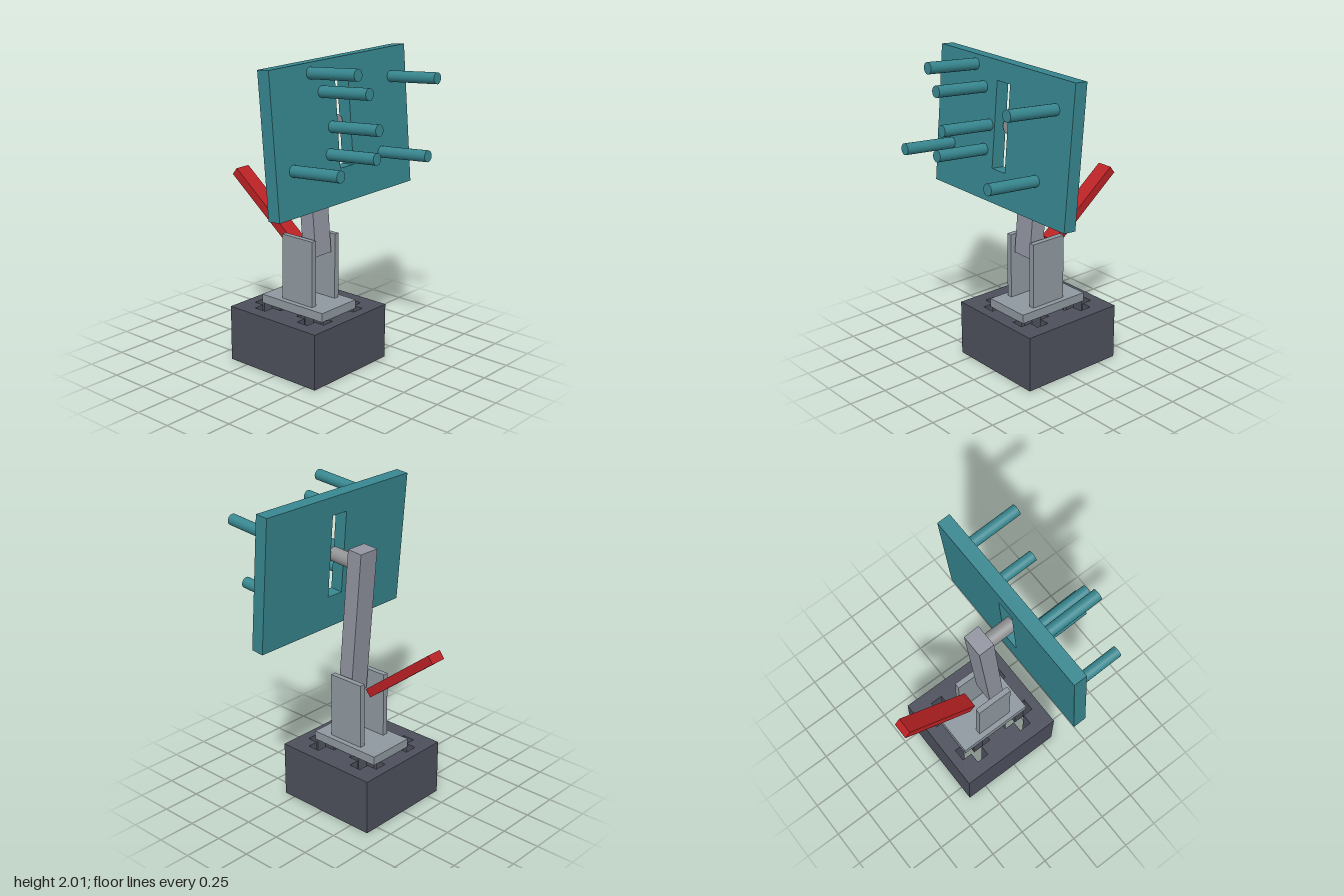
import * as THREE from 'three';

const mat = (name, color) => {
  const m = new THREE.MeshStandardMaterial({ color });
  m.name = name;
  return m;
};

export function createModel() {
  const teal = mat('teal', 0x37868f);
  const charcoal = mat('charcoal', 0x4c4f5b);
  const steel = mat('steel', 0x8f989f);
  const grey = mat('grey', 0x9194a0);
  const knobGrey = mat('knob grey', 0x919294);
  const red = mat('red', 0xba2124);

  const model = new THREE.Group();
  model.name = 'leverStand';

  const add = (parent, name, geometry, material, x, y, z) => {
    const mesh = new THREE.Mesh(geometry, material);
    mesh.name = name;
    mesh.position.set(x, y, z);
    parent.add(mesh);
    return mesh;
  };
  const box = (parent, name, material, w, h, d, x, y, z) =>
    add(parent, name, new THREE.BoxGeometry(w, h, d), material, x, y, z);

  const rectPoints = (w, h, cx = 0, cy = 0) => [[-1, -1], [1, -1], [1, 1], [-1, 1]]
    .map(([sx, sy]) => new THREE.Vector2(cx + sx * w / 2, cy + sy * h / 2));
  const extrude = (outline, holes, depth) => {
    const shape = new THREE.Shape(outline);
    holes.forEach((pts) => shape.holes.push(new THREE.Path(pts)));
    return new THREE.ExtrudeGeometry(shape, { depth, bevelEnabled: false });
  };

  // Base block with four cross-shaped shafts through it
  const crossPoints = (cx, cy) => {
    const a = 0.113, b = 0.042;
    return [[-b, -a], [b, -a], [b, -b], [a, -b], [a, b], [b, b],
      [b, a], [-b, a], [-b, b], [-a, b], [-a, -b], [-b, -b]]
      .map(([x, y]) => new THREE.Vector2(cx + x, cy + y));
  };
  const crosses = [];
  for (const x of [-0.145, 0.145]) for (const y of [-0.179, 0.179]) crosses.push(crossPoints(x, y));
  const baseGeo = extrude(rectPoints(0.684, 0.715), crosses, 0.365).rotateX(-Math.PI / 2);
  add(model, 'base', baseGeo, charcoal, 0, 0, -0.029);

  // Mounting plate and the two upright brackets
  box(model, 'mountPlate', steel, 0.322, 0.058, 0.51, 0, 0.394, -0.026);
  for (const side of [-1, 1]) {
    box(model, side > 0 ? 'leftBracket' : 'rightBracket', steel,
      0.036, 0.43, 0.25, side * 0.108, 0.638, -0.01);
  }

  // Leaning post
  const tilt = THREE.MathUtils.degToRad(-5);
  box(model, 'post', grey, 0.145, 0.96, 0.105, 0, 1.211, 0.005).rotation.x = tilt;

  // Red lever rising to the back
  box(model, 'lever', red, 0.108, 0.058, 0.619, 0, 0.968, -0.376).rotation.x = 0.665;

  // Tilted panel with a slot and scattered pegs
  const panel = new THREE.Group();
  panel.name = 'pegPanel';
  panel.position.set(0, 1.56, 0.22);
  panel.rotation.x = tilt;
  model.add(panel);
  const thick = 0.087;
  const boardGeo = extrude(rectPoints(1.226, 0.875), [rectPoints(0.12, 0.54, 0, 0.046)], thick);
  add(panel, 'board', boardGeo, teal, 0, 0, -thick / 2);

  const pegLength = 0.356;
  const pegGeo = new THREE.CylinderGeometry(0.036, 0.036, pegLength, 20).rotateX(Math.PI / 2);
  [[-0.27, 0.376], [-0.18, 0.255], [-0.11, 0.036], [-0.145, -0.124],
    [-0.468, -0.161], [0.338, -0.198], [0.465, 0.255]]
    .forEach(([x, y]) => add(panel, 'peg', pegGeo, teal, x, y, thick / 2 + pegLength / 2));

  // Round stub joining the post to the slot
  const stubGeo = new THREE.CylinderGeometry(0.046, 0.046, 0.19, 24).rotateX(Math.PI / 2);
  add(panel, 'stub', stubGeo, knobGrey, 0, 0.043, -0.105);

  return model;
}
